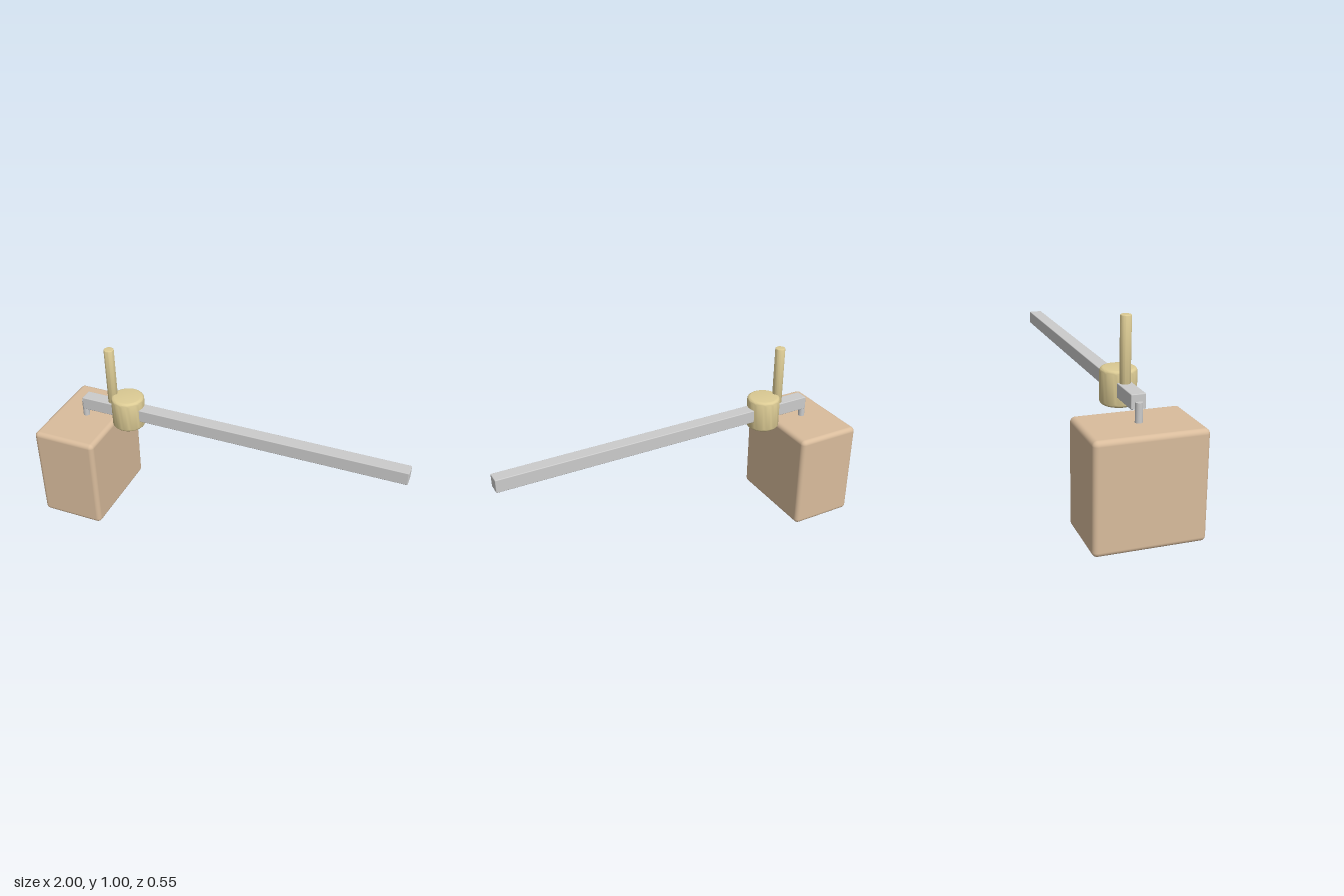
import * as THREE from 'three';
import { RoundedBoxGeometry } from 'three/addons/geometries/RoundedBoxGeometry.js';
import { toCreasedNormals } from 'three/addons/utils/BufferGeometryUtils.js';

const tan = new THREE.MeshStandardMaterial({ color: 0xd9bc9c });
const brass = new THREE.MeshStandardMaterial({ color: 0xdccb94 });
const grey = new THREE.MeshStandardMaterial({ color: 0xcccccc });

// Upright cylinder from y0 to y1 with rounded rims
function roundedCylinder(radius, y0, y1, bevel) {
  const profile = [new THREE.Vector2(0, y0)];
  const steps = 5;
  for (const [cy, start] of [[y0 + bevel, -Math.PI / 2], [y1 - bevel, 0]]) {
    for (let i = 0; i <= steps; i++) {
      const a = start + (i / steps) * Math.PI / 2;
      profile.push(new THREE.Vector2(radius - bevel + bevel * Math.cos(a), cy + bevel * Math.sin(a)));
    }
  }
  profile.push(new THREE.Vector2(0, y1));
  return toCreasedNormals(new THREE.LatheGeometry(profile, 40), 0.6);
}

export function createModel() {
  const model = new THREE.Group();
  const add = (name, geometry, material, x, y = 0) => {
    const mesh = new THREE.Mesh(geometry, material);
    mesh.name = name;
    mesh.position.set(x, y, 0);
    model.add(mesh);
  };

  // Hanging counterweight with softened edges
  add('counterweight', new RoundedBoxGeometry(0.36, 0.545, 0.545, 4, 0.025), tan, -0.82, 0.2725);

  // Pin joining the counterweight to the end of the beam
  add('hangerPin', new THREE.CylinderGeometry(0.018, 0.018, 0.12, 24), grey, -0.82, 0.58);

  // Long square beam
  add('beam', new RoundedBoxGeometry(1.815, 0.072, 0.072, 2, 0.004), grey, 0.0925, 0.64);

  // Pivot drum around the beam, and the upright rod beside it
  add('pivotDrum', roundedCylinder(0.09, 0.55, 0.73, 0.018), brass, -0.55);
  add('uprightRod', roundedCylinder(0.027, 0.64, 1.0, 0.005), brass, -0.64);

  return model;
}
